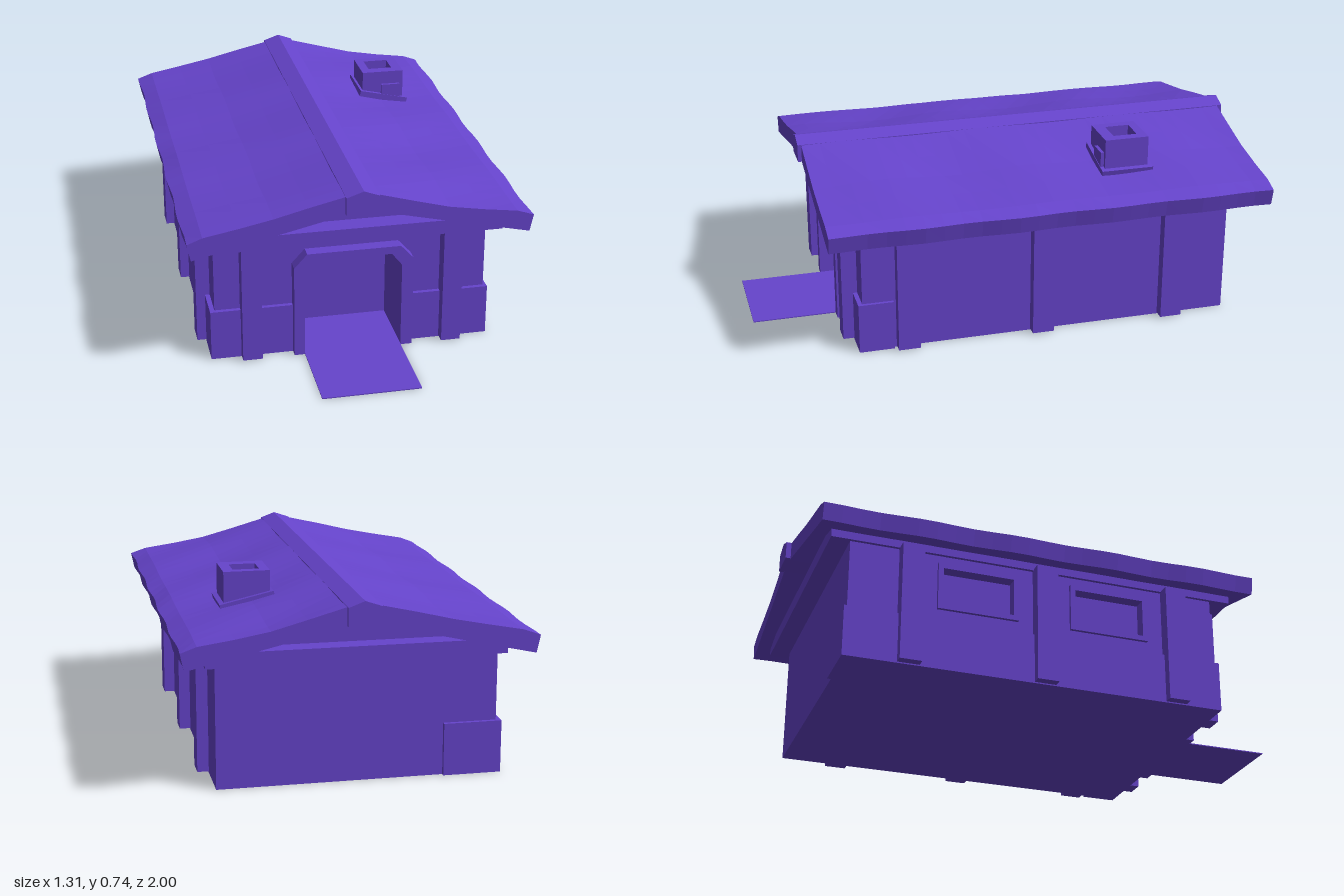
import * as THREE from 'three';

const paint = new THREE.MeshStandardMaterial({ color: 0x6644cc, flatShading: true });

export function createModel() {
  const model = new THREE.Group();

  const add = (name, geometry) => {
    const mesh = new THREE.Mesh(geometry, paint);
    mesh.name = name;
    model.add(mesh);
    return mesh;
  };
  // Box given by its limits on each axis
  const box = (name, x0, x1, y0, y1, z0, z1) => {
    const mesh = add(name, new THREE.BoxGeometry(x1 - x0, y1 - y0, z1 - z0));
    mesh.position.set((x0 + x1) / 2, (y0 + y1) / 2, (z0 + z1) / 2);
    return mesh;
  };
  const toPoints = (list) => list.map(([x, y]) => new THREE.Vector2(x, y));
  const rect = (x0, x1, y0, y1) => [[x0, y0], [x1, y0], [x1, y1], [x0, y1]];
  const prism = (outline, depth, holes = []) => {
    const shape = new THREE.Shape(toPoints(outline));
    holes.forEach((h) => shape.holes.push(new THREE.Path(toPoints(h))));
    return new THREE.ExtrudeGeometry(shape, { depth, bevelEnabled: false });
  };

  // Door opening and its frame share a chamfered arch
  const inner = [[-0.2, 0], [-0.2, 0.345], [-0.157, 0.395], [0.135, 0.395], [0.175, 0.345], [0.175, 0]];
  const outer = [[-0.24, 0], [-0.24, 0.37], [-0.19, 0.425], [0.17, 0.425], [0.22, 0.37], [0.22, 0]];
  const innerBack = [...inner].reverse();

  // Walls around a solid core; the front wall is deep enough for the porch recess
  box('core', -0.5, 0.512, 0, 0.48, -0.85, 0.4);
  add('frontWall', prism([[-0.537, 0], ...inner, [0.512, 0], [0.512, 0.48], [-0.537, 0.48]], 0.22))
    .position.z = 0.4;
  add('doorFrame', prism([...outer, ...innerBack], 0.06)).position.z = 0.61;
  box('doorMat', -0.2, 0.175, 0, 0.004, 0.4, 1);

  // Side wall with two recessed windows
  const windows = [[-0.49, -0.21], [0.04, 0.32]];
  const openings = windows.map(([a, b]) => rect(a, b, 0.27, 0.42));
  const sideWall = add('windowWall', prism(rect(-0.85, 0.4, 0, 0.48), 0.04, openings));
  sideWall.rotation.y = -Math.PI / 2;
  sideWall.position.x = -0.497;
  windows.forEach(([a, b]) => {
    const frame = add('windowFrame',
      prism(rect(a - 0.02, b + 0.02, 0.25, 0.44), 0.015, [rect(a, b, 0.27, 0.42)]));
    frame.rotation.y = -Math.PI / 2;
    frame.position.x = -0.535;
  });

  // Pillars
  [[0.405, 0.49], [-0.13, -0.045], [-0.66, -0.575]].forEach(([z0, z1]) => {
    box('sidePillar', 0.5, 0.555, 0.005, 0.48, z0, z1);
    box('sidePillar', -0.59, -0.53, 0.005, 0.48, z0, z1);
  });
  box('frontPillar', -0.44, -0.365, 0.005, 0.48, 0.61, 0.68);
  box('frontPillar', 0.335, 0.41, 0.005, 0.48, 0.61, 0.68);

  // Stone plinth
  box('frontStone', -0.555, -0.24, 0, 0.2, 0.55, 0.637);
  box('frontStone', 0.22, 0.525, 0, 0.2, 0.5, 0.637);
  box('sideStone', -0.555, -0.53, 0, 0.2, -0.865, 0.637);
  box('backStone', -0.555, -0.335, 0, 0.2, -0.865, -0.84);

  // Eave slab and gable under the roof
  box('eaveSlab', -0.55, 0.555, 0.475, 0.53, -0.925, 0.7);
  add('gable', prism([[-0.55, 0.5], [0.555, 0.5], [0, 0.632]], 1.47)).position.z = -0.85;

  // Gently sagging roof slopes, lofted from cross-sections along z
  const roofSlope = (side) => {
    const top = [[0, 0.705], [0.06, 0.688], [0.2, 0.652], [0.33, 0.62], [0.46, 0.597], [0.59, 0.575], [0.65, 0.552]];
    const under = [[0.636, 0.486], [0.5, 0.517], [0.33, 0.556], [0.16, 0.595], [0, 0.631]];
    const profile = [...top, ...under];
    const rows = 24;
    const n = profile.length;
    const pos = [];
    const index = [];
    const face = (a, b, c) => (side > 0 ? index.push(a, b, c) : index.push(a, c, b));
    for (let r = 0; r <= rows; r++) {
      const z = -0.98 + (1.74 * r) / rows;
      profile.forEach(([x, y], i) => {
        const onTop = i > 0 && i < top.length;
        const wave = onTop ? 0.007 * Math.sin(z * 11 + x * 4 + side) * Math.sin(x * 4.8) : 0;
        const edge = x > 0.6 ? 0.004 * Math.sin(z * 17 + side) : 0;
        pos.push(side * (x + edge), y + wave, z);
      });
    }
    for (let r = 0; r < rows; r++) {
      for (let i = 0; i < n; i++) {
        const a = r * n + i, b = r * n + ((i + 1) % n);
        face(a, a + n, b);
        face(b, a + n, b + n);
      }
    }
    // Gable-end faces
    THREE.ShapeUtils.triangulateShape(toPoints(profile), []).forEach(([a, b, c]) => {
      const [p, q, s] = [profile[a], profile[b], profile[c]];
      const ccw = (q[0] - p[0]) * (s[1] - p[1]) - (q[1] - p[1]) * (s[0] - p[0]) > 0;
      const [u, v] = ccw ? [b, c] : [c, b];
      const last = rows * n;
      face(last + a, last + u, last + v);
      face(a, v, u);
    });
    const g = new THREE.BufferGeometry();
    g.setAttribute('position', new THREE.Float32BufferAttribute(pos, 3));
    g.setIndex(index);
    g.computeVertexNormals();
    return g;
  };
  add('roofRight', roofSlope(1));
  add('roofLeft', roofSlope(-1));

  // Ridge beam
  add('ridgeBeam', prism([[-0.065, 0.62], [0.06, 0.62], [0.06, 0.69], [0, 0.712], [-0.065, 0.69]], 1.775))
    .position.z = -1;

  // Chimney: square tube, floor, tilted collar and front plate
  const flue = add('chimney', prism(rect(0.255, 0.43, -0.54, -0.365), 0.15, [rect(0.29, 0.39, -0.505, -0.41)]));
  flue.geometry.scale(1, -1, 1);
  flue.geometry.rotateX(-Math.PI / 2);
  // Rebuild winding lost by the mirror
  const p = flue.geometry.attributes.position;
  for (let i = 0; i < p.count; i += 3) {
    const v = [1, 2].map((k) => new THREE.Vector3().fromBufferAttribute(p, i + k));
    p.setXYZ(i + 1, v[1].x, v[1].y, v[1].z);
    p.setXYZ(i + 2, v[0].x, v[0].y, v[0].z);
  }
  flue.geometry.computeVertexNormals();
  flue.position.y = 0.585;
  box('chimneyFloor', 0.28, 0.4, 0.6, 0.66, -0.515, -0.4);
  box('chimneyCollar', 0.238, 0.447, 0.605, 0.637, -0.558, -0.35).rotation.z = -0.22;
  box('chimneyPlate', 0.335, 0.415, 0.6, 0.68, -0.37, -0.352);

  return model;
}
